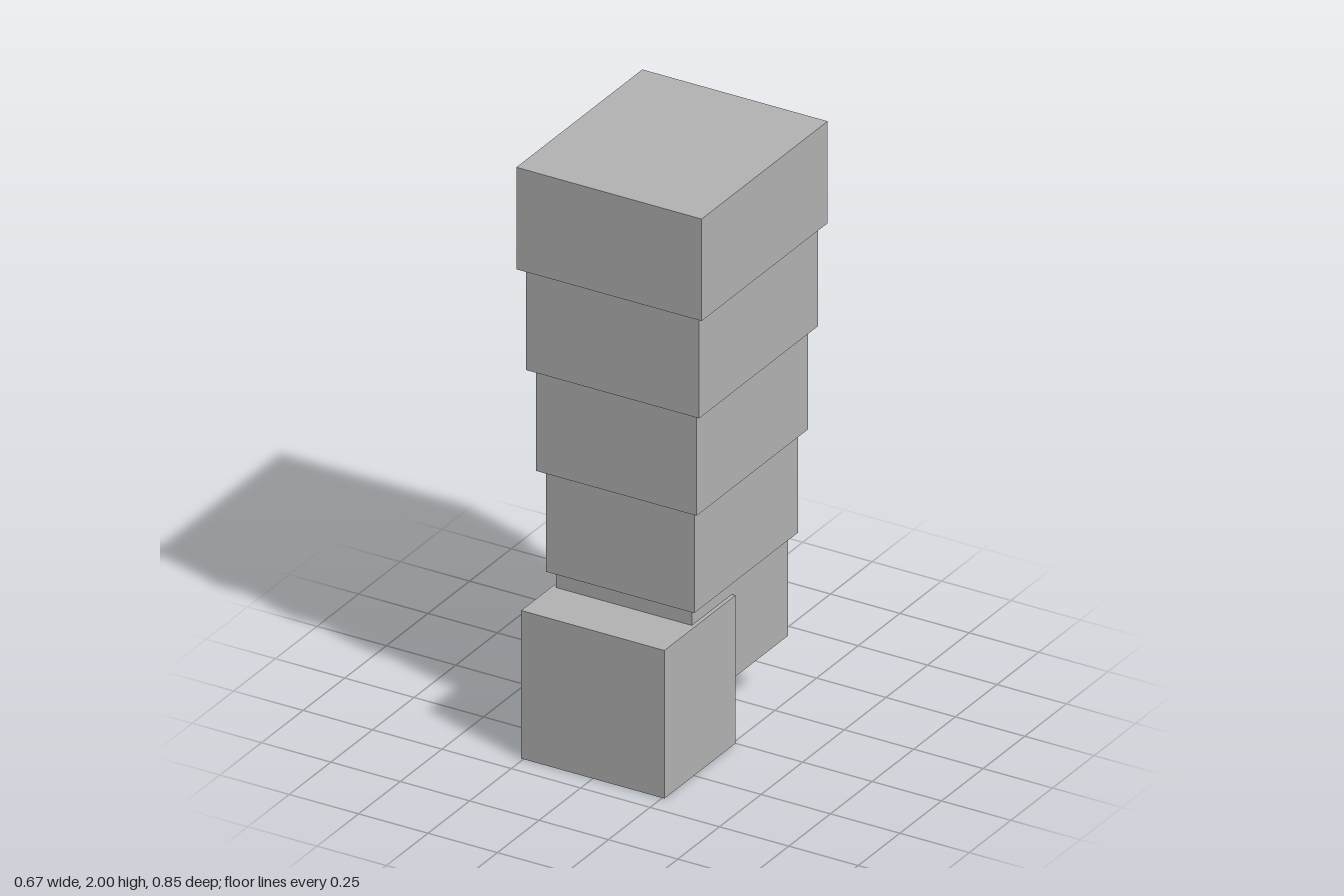
import * as THREE from 'three';

export function createModel() {
  const group = new THREE.Group();
  const grey = new THREE.MeshStandardMaterial({ color: 0xb2b2b2 });
  grey.name = 'plain grey';

  // Box given by half width, bottom, top, back and front
  const addBox = (name, halfWidth, y0, y1, z0, z1) => {
    const mesh = new THREE.Mesh(new THREE.BoxGeometry(halfWidth * 2, y1 - y0, z1 - z0), grey);
    mesh.position.set(0, (y0 + y1) / 2, (z0 + z1) / 2);
    mesh.name = name;
    group.add(mesh);
  };

  // Stacked segments, each a little wider than the one below
  const bottom = 0.22, height = 0.356, grow = 0.0222;
  for (let i = 0; i < 5; i++) {
    const y = bottom + i * height;
    addBox(`segment${i + 1}`, 0.245 + i * grow, y, y + height, -0.338 - i * grow, 0.241 + i * grow);
  }

  // Block at the foot, projecting forward
  addBox('footBlock', 0.258, 0, 0.517, 0, 0.427);

  return group;
}
